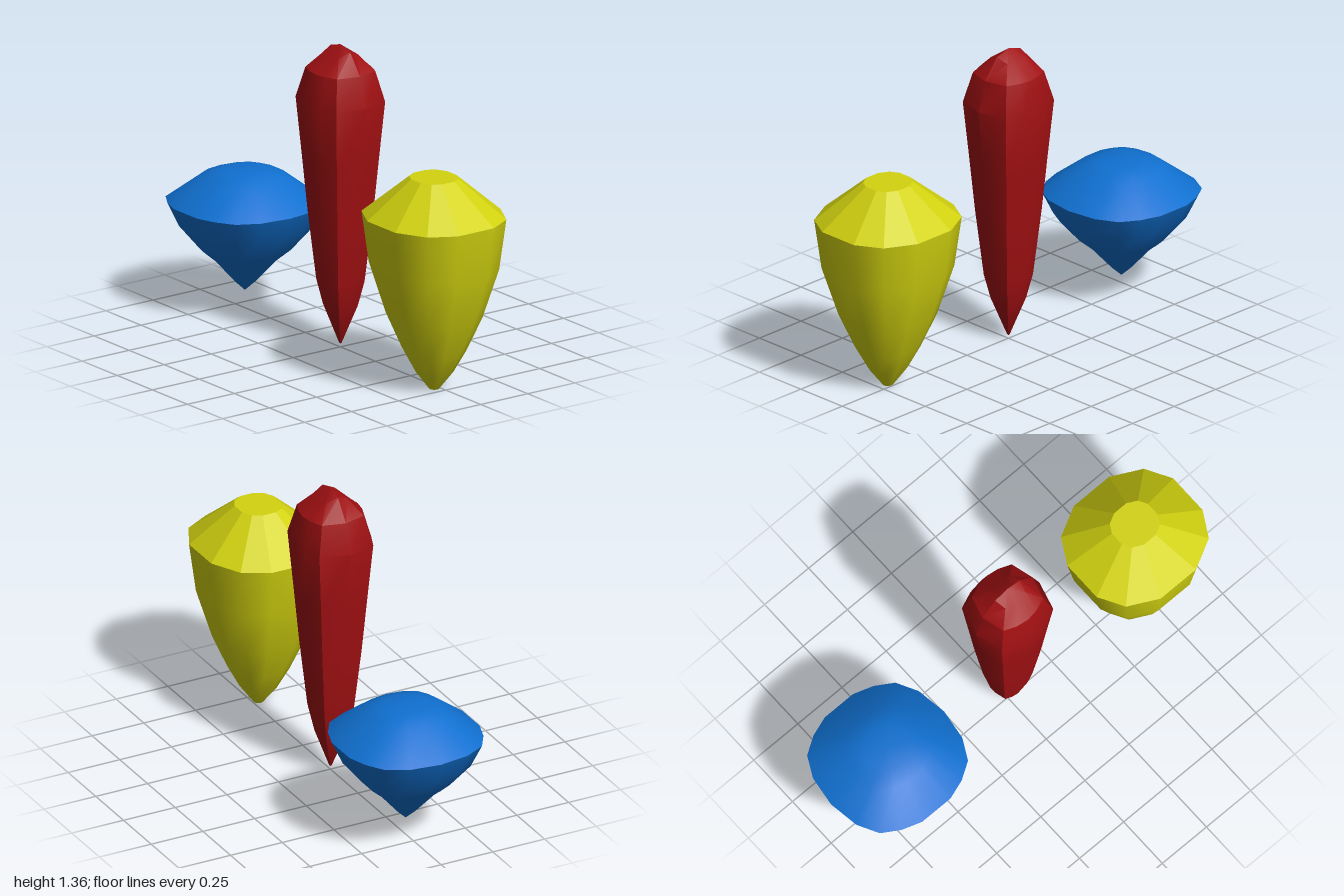
import * as THREE from 'three';
import { toCreasedNormals } from 'three/addons/utils/BufferGeometryUtils.js';

// Mirror a quarter outline (x falling, z rising) into a full closed loop.
function mirrorOutline(quarter) {
  const loop = [];
  const add = (x, z) => {
    const seen = loop.some(([a, b]) => Math.abs(a - x) + Math.abs(b - z) < 1e-6);
    if (!seen) loop.push([x, z]);
  };
  quarter.forEach(([x, z]) => add(x, z));
  [...quarter].reverse().forEach(([x, z]) => add(-x, z));
  quarter.forEach(([x, z]) => add(-x, -z));
  [...quarter].reverse().forEach(([x, z]) => add(x, -z));
  return loop;
}

// Stack scaled copies of the outline; levels are [y, scale, lift towards the z ends].
function loft(outline, levels, crease) {
  const n = outline.length;
  const maxZ = Math.max(...outline.map((p) => p[1]));
  const position = [];
  const index = [];
  for (const [y, scale, lift = 0] of levels) {
    for (const [x, z] of outline) {
      position.push(x * scale, y + lift * (z / maxZ) ** 4, z * scale);
    }
  }
  for (let j = 0; j < levels.length - 1; j++) {
    for (let i = 0; i < n; i++) {
      const a = j * n + i;
      const b = j * n + ((i + 1) % n);
      if (levels[j][1] > 0) index.push(a, a + n, b);
      if (levels[j + 1][1] > 0) index.push(b, a + n, b + n);
    }
  }
  const geometry = new THREE.BufferGeometry();
  geometry.setAttribute('position', new THREE.Float32BufferAttribute(position, 3));
  geometry.setIndex(index);
  return toCreasedNormals(geometry, crease);
}

function gem(name, color, x, z, parts) {
  const group = new THREE.Group();
  group.name = name;
  group.position.set(x, 0, z);
  for (const [partName, outline, levels, crease] of parts) {
    const material = new THREE.MeshStandardMaterial({ color });
    const mesh = new THREE.Mesh(loft(outline, levels, crease), material);
    mesh.name = partName;
    group.add(mesh);
  }
  return group;
}

export function createModel() {
  const model = new THREE.Group();
  model.name = 'gems';

  // Yellow gem: twelve sides, flat table and a sharp girdle
  const twelve = mirrorOutline([[0.28, 0.1], [0.21, 0.235], [0.095, 0.3]]);
  model.add(gem('yellowGem', 0xd2d210, -0.025, 0.7, [
    ['yellowPavilion', twelve, [
      [0, 0], [0, 0.07], [0.08, 0.27], [0.18, 0.45], [0.33, 0.67], [0.55, 0.9], [0.775, 1],
    ], 0.6],
    ['yellowCrown', twelve, [[0.775, 1], [0.945, 0.34], [0.945, 0]], 0.2],
  ]));

  // Red gem: tall and slender, with a ridged cap
  const slender = mirrorOutline([[0.17, 0], [0.16, 0.07], [0.13, 0.145], [0, 0.18]]);
  model.add(gem('redGem', 0xa01012, 0, 0, [
    ['redShaft', slender, [
      [0.015, 0], [0.02, 0.03], [0.19, 0.39], [0.3, 0.54], [0.6, 0.73],
      [0.85, 0.86], [1.11, 1], [1.245, 0.78],
    ], 0.55],
    ['redCap', slender, [[1.245, 0.78], [1.3, 0.39, 0.035], [1.355, 0]], 0.55],
  ]));

  // Blue gem: broad, soft cushion shape with a pointed base
  const cushion = mirrorOutline([
    [0.315, 0.08], [0.285, 0.17], [0.235, 0.25], [0.14, 0.3], [0, 0.32],
  ]);
  model.add(gem('blueGem', 0x1070d0, 0, -0.68, [
    ['blueBody', cushion, [
      [0.08, 0], [0.12, 0.13], [0.22, 0.4], [0.27, 0.58], [0.375, 0.85], [0.48, 1],
      [0.595, 0.54], [0.62, 0.31], [0.62, 0],
    ], 1.3],
  ]));

  return model;
}
